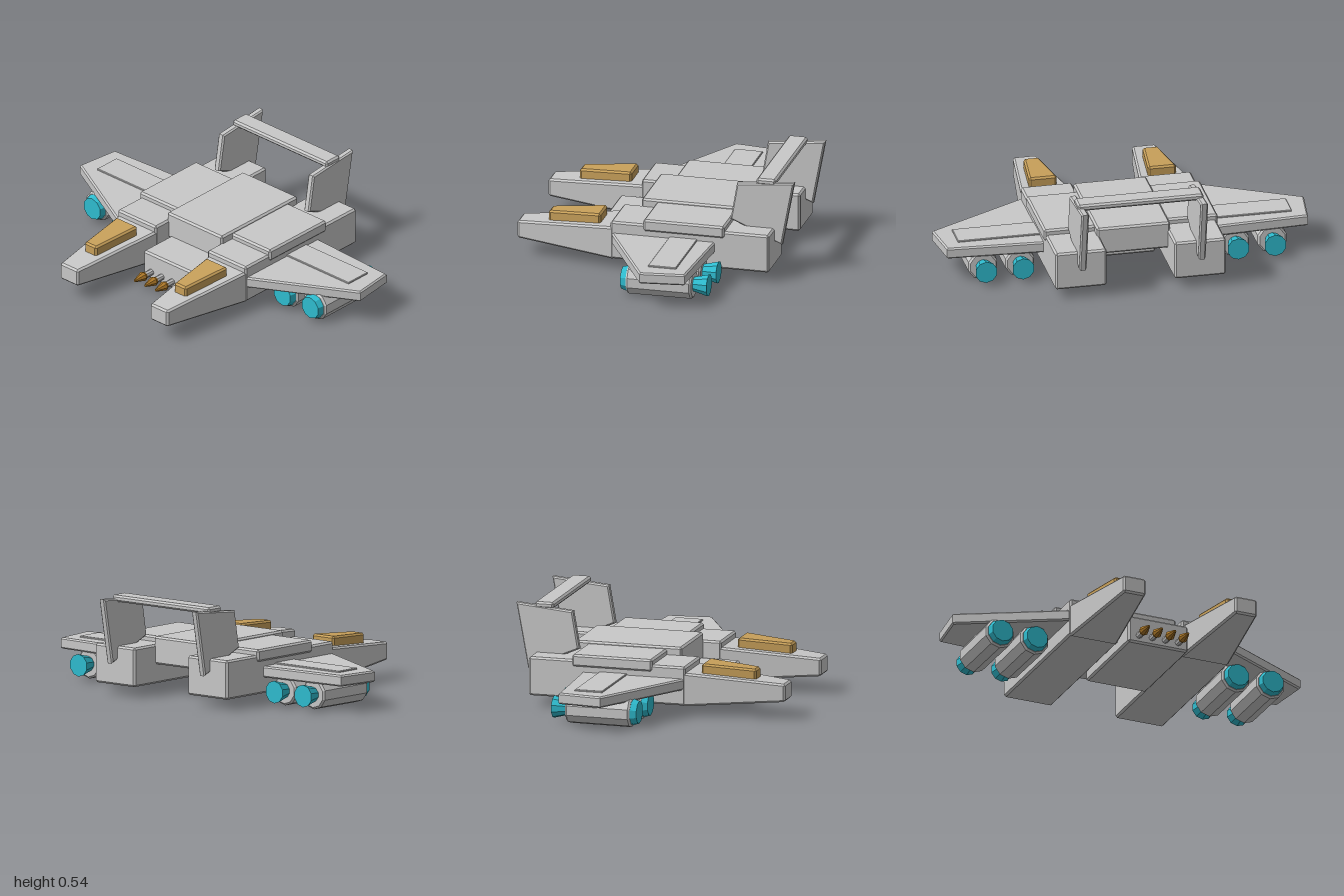
import * as THREE from 'three';
import { ConvexGeometry } from 'three/addons/geometries/ConvexGeometry.js';

const mat = (name, color) => {
  const m = new THREE.MeshStandardMaterial({ color, flatShading: true });
  m.name = name;
  return m;
};

export function createModel() {
  const hull = mat('hull grey', 0xc8c8c8);
  const gold = mat('canopy gold', 0xc8a05a);
  const teal = mat('engine teal', 0x2fbccf);
  const brass = mat('gun brass', 0xb07a28);

  const model = new THREE.Group();
  model.name = 'gunship';
  const add = (name, geometry, material, parent = model) => {
    const mesh = new THREE.Mesh(geometry, material);
    mesh.name = name;
    parent.add(mesh);
    return mesh;
  };

  // Chamfered block between a back and a front section, each [x0, x1, y0, y1]
  const block = (zBack, back, zFront, front = back, bevel = 0.01) => {
    const points = [];
    for (const i of [0, 1]) for (const j of [0, 1]) for (const k of [0, 1]) {
      const s = k ? front : back;
      const x = s[i], y = s[2 + j], z = k ? zFront : zBack;
      const dx = i ? -bevel : bevel, dy = j ? -bevel : bevel, dz = k ? -bevel : bevel;
      points.push(
        new THREE.Vector3(x, y + dy, z + dz),
        new THREE.Vector3(x + dx, y, z + dz),
        new THREE.Vector3(x + dx, y + dy, z));
    }
    return new ConvexGeometry(points);
  };

  // Bevelled slab, centred on its own thickness
  const slab = (points, thickness, bevel = 0.008) => {
    const shape = new THREE.Shape(points.map(([a, b]) => new THREE.Vector2(a, b)));
    const g = new THREE.ExtrudeGeometry(shape, {
      depth: thickness - 2 * bevel, bevelEnabled: true, bevelSegments: 1,
      bevelSize: bevel, bevelThickness: bevel, bevelOffset: -bevel,
    });
    return g.translate(0, 0, bevel - thickness / 2);
  };

  // Cylinder along z, from zBack to zFront
  const tube = (zBack, rBack, zFront, rFront, sides = 10) =>
    new THREE.CylinderGeometry(rFront, rBack, zFront - zBack, sides)
      .rotateX(Math.PI / 2).translate(0, 0, (zBack + zFront) / 2);

  // Central body
  add('lowerBody', block(-0.22, [-0.172, 0.172, 0.03, 0.18], 0.33), hull);
  add('upperBody', block(-0.47, [-0.197, 0.197, 0.165, 0.313], 0.12), hull);
  add('shoulderPlate', block(-0.4, [-0.467, 0.467, 0.235, 0.3], 0.04), hull);

  // Row of guns under the body front
  for (let i = 0; i < 4; i++) {
    const gun = new THREE.Group();
    gun.name = 'gun';
    gun.position.set(-0.1125 + i * 0.075, 0.072, 0);
    add('gunBarrel', tube(0.31, 0.017, 0.39, 0.017, 8), hull, gun);
    add('gunCollar', tube(0.38, 0.02, 0.395, 0.026, 8), brass, gun);
    add('gunTip', tube(0.395, 0.026, 0.46, 0.007, 8), brass, gun);
    model.add(gun);
  }

  for (const side of [1, -1]) {
    const prefix = side > 0 ? 'left' : 'right';

    // Boom with tapered nose and canopy
    const boom = new THREE.Group();
    boom.name = prefix + 'Boom';
    boom.position.x = side * 0.32;
    add('boomBody', block(-0.64, [-0.138, 0.138, 0.062, 0.27], 0.22), hull, boom);
    add('nose', block(0.2, [-0.135, 0.135, 0.058, 0.237],
      0.745, [-0.064, 0.064, 0.1, 0.197]), hull, boom);
    add('canopy', block(0.29, [-0.075, 0.075, 0.19, 0.28],
      0.58, [-0.043, 0.043, 0.17, 0.262]), gold, boom);

    // Raked tail fin
    const fin = slab([[0.4, 0.3], [0.435, 0.502], [0.745, 0.53], [0.68, 0.18]], 0.04);
    add('tailFin', fin.rotateY(Math.PI / 2), hull, boom);
    model.add(boom);

    // Wing and raised panel
    const wing = slab([[0.4, -0.35], [0.97, -0.318], [1, -0.08], [0.465, 0.21], [0.4, 0.21]]
      .map(([x, z]) => [side * x, z]), 0.06);
    add(prefix + 'Wing', wing.rotateX(Math.PI / 2).translate(0, 0.177, 0), hull);
    const panel = side > 0 ? [0.42, 0.897, 0.19, 0.215] : [-0.897, -0.42, 0.19, 0.215];
    add(prefix + 'WingPanel', block(-0.252, panel, -0.1, panel, 0.003), hull);

    // Two engines under each wing
    for (const x of [0.578, 0.777]) {
      const engine = new THREE.Group();
      engine.name = prefix + 'Engine';
      engine.position.set(side * x, 0.088, 0);
      add('engineCasing', tube(-0.31, 0.081, 0.025, 0.083), hull, engine);
      add('casingFrontRim', tube(0.025, 0.083, 0.035, 0.073), hull, engine);
      add('casingRearRim', tube(-0.32, 0.071, -0.31, 0.081), hull, engine);
      add('intake', tube(0.03, 0.072, 0.068, 0.061), teal, engine);
      add('nozzle', tube(-0.4, 0.06, -0.315, 0.038), teal, engine);
      model.add(engine);
    }
  }

  // Bar joining the fins
  add('tailCrossbar', block(-0.645, [-0.337, 0.337, 0.505, 0.54], -0.54), hull);

  return model;
}
